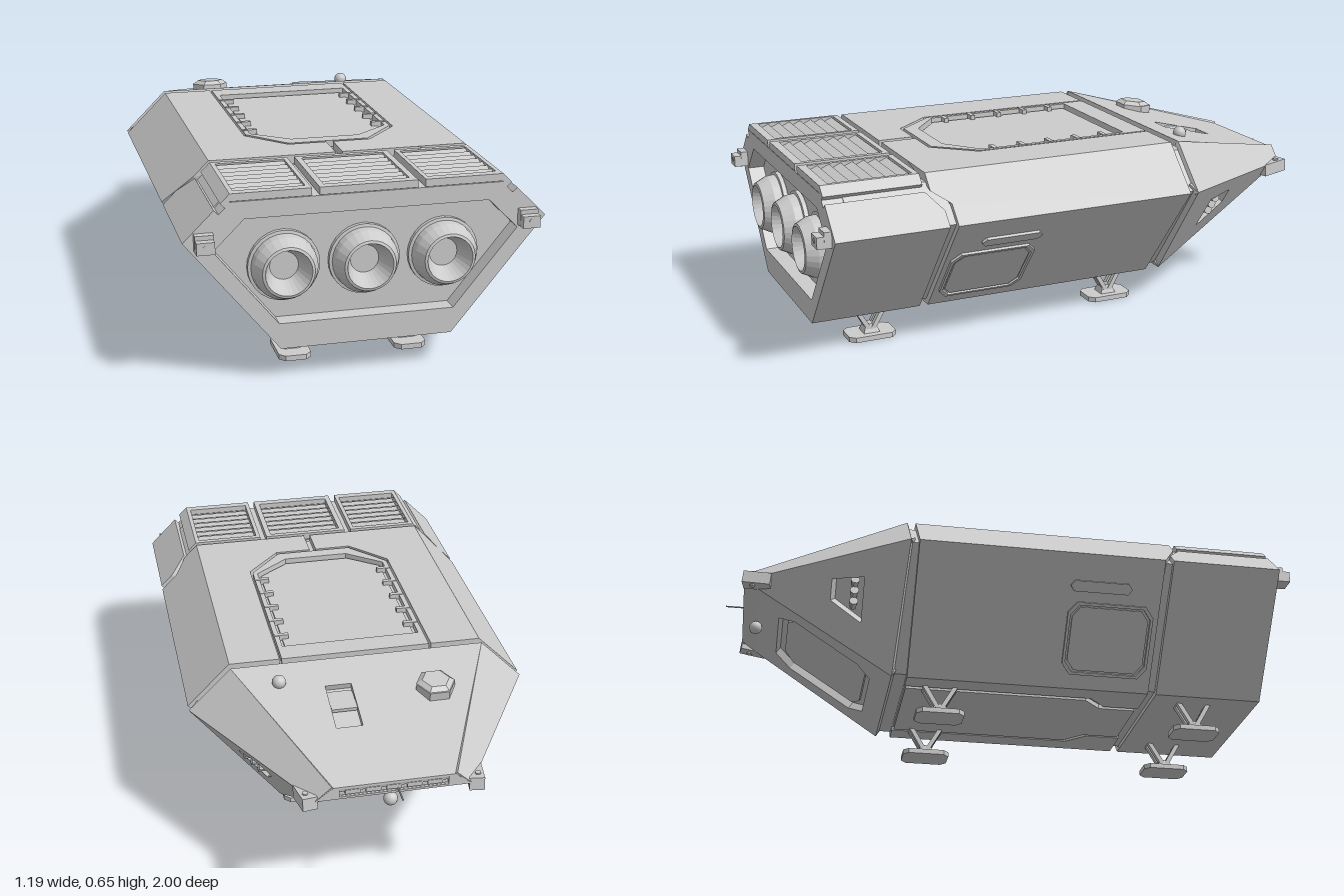
import * as THREE from 'three';

const V = (x, y, z) => new THREE.Vector3(x, y, z);
const mat = new THREE.MeshStandardMaterial({ color: 0xcccccc, flatShading: true, side: THREE.DoubleSide });
const smooth = new THREE.MeshStandardMaterial({ color: 0xcccccc });

export function createModel() {
  const root = new THREE.Group();
  const add = (name, geo, pos = [0, 0, 0], rot = [0, 0, 0], m = mat) => {
    const mesh = new THREE.Mesh(geo, m);
    mesh.name = name;
    mesh.position.set(...pos);
    mesh.rotation.set(...rot);
    root.add(mesh);
    return mesh;
  };
  const box = (name, size, pos, rot) => add(name, new THREE.BoxGeometry(...size), pos, rot);

  // Solid between two mirrored sections; half points are [x, y, backZ, frontZ] from bottom to top
  function loft(name, half, z0, z1) {
    const ring = [...half, ...half.map(([x, ...r]) => [-x, ...r]).reverse()];
    const n = ring.length, pos = [], idx = [];
    ring.forEach(([x, y, a = z0]) => pos.push(x, y, a));
    ring.forEach(([x, y, , b = z1]) => pos.push(x, y, b));
    for (let i = 0; i < n; i++) {
      const j = (i + 1) % n;
      idx.push(i, j, n + j, i, n + j, n + i);
    }
    for (const [a, b, c] of THREE.ShapeUtils.triangulateShape(ring.map(p => new THREE.Vector2(p[0], p[1])), []))
      idx.push(c, b, a, n + a, n + b, n + c);
    const g = new THREE.BufferGeometry();
    g.setAttribute('position', new THREE.Float32BufferAttribute(pos, 3));
    g.setIndex(idx);
    g.computeVertexNormals();
    add(name, g);
  }

  // Flat plate on any plane, thickened inward; each hole gets a floor
  function panel(name, pts, depth, holes = []) {
    const n = V(0, 0, 0), c = V(0, 0, 0);
    pts.forEach((p, i) => {
      n.add(p.clone().cross(pts[(i + 1) % pts.length]));
      c.addScaledVector(p, 1 / pts.length);
    });
    n.normalize();
    if (n.dot(c.clone().sub(V(0, 0.38, 0.1))) < 0) n.negate();
    const u = pts[1].clone().sub(pts[0]).normalize(), v = n.clone().cross(u);
    const flat = list => list.map(p => {
      const d = p.clone().sub(pts[0]);
      return new THREE.Vector2(d.dot(u), d.dot(v));
    });
    const shape = new THREE.Shape(flat(pts));
    shape.holes = holes.map(h => new THREE.Path(flat(h)));
    const m = new THREE.Matrix4().makeBasis(u, v, n).setPosition(pts[0]);
    const g = new THREE.ExtrudeGeometry(shape, { depth, bevelEnabled: false });
    add(name, g.translate(0, 0, -depth).applyMatrix4(m));
    holes.forEach(h => add(name + 'Floor',
      new THREE.ShapeGeometry(new THREE.Shape(flat(h))).translate(0, 0, 0.001 - depth).applyMatrix4(m)));
  }
  const mirror = half => [...half, ...half.map(([x, ...r]) => [-x, ...r]).reverse()];
  const atY = (y, list) => list.map(([x, z]) => V(x, y, z));
  const rect = (x0, x1, z0, z1) => [[x0, z0], [x1, z0], [x1, z1], [x0, z1]];

  // Hull: inner core shows as the floor of the seams between sections
  loft('hullCore', [[0.27, 0.13], [0.572, 0.495], [0.45, 0.615]], -0.405, 0.88);
  loft('midHull', [[0.21, 0.128], [0.21, 0.113], [0.285, 0.113], [0.595, 0.495], [0.535, 0.555],
    [0.495, 0.595, -0.345, 0.59], [0.445, 0.645, -0.345, 0.59], [0.27, 0.645, -0.345, 0.59],
    [0.27, 0.62, -0.345, 0.59]], -0.345, 0.53);
  const rearHalf = [[0.285, 0.113], [0.595, 0.495], [0.55, 0.54], [0.495, 0.595, 0.61], [0.48, 0.58, 0.61],
    [0.46, 0.6, 0.61], [0.475, 0.615, 0.61], [0.445, 0.645, 0.61], [0.445, 0.618, 0.61]];
  loft('rearHull', rearHalf, 0.56, 0.89);
  panel('engineFrame', mirror(rearHalf).map(([x, y]) => V(x, y, 0.95)), 0.06,
    [mirror([[0.29, 0.2], [0.5, 0.46], [0.4, 0.56]]).map(([x, y]) => V(x, y, 0.95))]);

  // Roof deck with sunken hatch and its clips
  const hatch = k => mirror([[0.245 - k, -0.26 + k], [0.245 - k, 0.3], [0.12, 0.4 - k]]);
  panel('hatchFrame', atY(0.645, mirror([[0.262, -0.345], [0.262, 0.31], [0.14, 0.45]])), 0.022, [atY(0.645, hatch(0))]);
  panel('hatchLid', atY(0.631, hatch(0.012)), 0.01);
  for (const s of [-1, 1]) {
    panel('deckPlate', atY(0.645, [[0.27, 0.322], [0.145, 0.462], [0.012, 0.462], [0.012, 0.59], [0.27, 0.59]]
      .map(([x, z]) => [s * x, z])), 0.025);
    for (let i = 0; i < 5; i++) box('hatchClip', [0.05, 0.02, 0.016], [s * 0.235, 0.637, -0.18 + i * 0.108]);
  }

  // Louvred engine vents
  for (const [x0, x1, v0, v1] of [[-0.445, -0.185, -0.43, -0.2], [-0.16, 0.16, -0.14, 0.14], [0.185, 0.445, 0.2, 0.43]]) {
    panel('ventFrame', atY(0.645, rect(x0, x1, 0.61, 0.95)), 0.025, [atY(0.645, rect(v0, v1, 0.63, 0.92))]);
    for (let i = 0; i < 7; i++)
      box('ventSlat', [v1 - v0, 0.005, 0.036], [(v0 + v1) / 2, 0.632, 0.652 + i * 0.041], [0.4, 0, 0]);
  }

  // Underside plates
  panel('bellyPlate', atY(0.111, mirror([[0.196, -0.34], [0.196, 0.32], [0.131, 0.385], [0.131, 0.52]])), 0.017);
  for (const s of [-1, 1])
    panel('bellyFill', atY(0.113, [[0.21, 0.335], [0.145, 0.4], [0.145, 0.53], [0.21, 0.53]].map(([x, z]) => [s * x, z])), 0.015);

  // Engines
  const nozzle = [[0.112, 0], [0.118, 0.005], [0.118, 0.02], [0.108, 0.022], [0.105, 0.05], [0.085, 0.09],
    [0.076, 0.093], [0.047, 0.02], [0, 0.02]].map(p => new THREE.Vector2(...p));
  for (const x of [-0.265, 0, 0.265])
    add('engineNozzle', new THREE.LatheGeometry(nozzle, 28), [x, 0.38, 0.888], [Math.PI / 2, 0, 0]);

  // Nose built from face plates
  const topY = z => 0.645 + (z + 0.375) * 0.25;
  const T0 = s => V(s * 0.445, 0.645, -0.375), T1 = s => V(s * 0.2, 0.505, -0.935);
  const M0 = s => V(s * 0.595, 0.495, -0.375), M1 = s => V(s * 0.26, 0.46, -0.935);
  const B0 = s => V(s * 0.285, 0.113, -0.4), B1 = s => V(s * 0.263, 0.425, -0.88);
  panel('noseTop', [T0(1), T0(-1), T1(-1), T1(1)], 0.022,
    [rect(0.05, 0.14, -0.69, -0.5).map(([x, z]) => V(x, topY(z), z))]);
  box('noseSlotRamp', [0.088, 0.012, 0.1], [0.095, topY(-0.56) - 0.014, -0.56], [-0.08, 0, 0]);
  const belly = (x, t) => V(x, 0.113 + 0.312 * t, -0.4 - 0.48 * t);
  const windowPts = (k, t) => mirror([[0.15 - k, 0.14 + t], [0.2 - k, 0.24], [0.2 - k, 0.72], [0.15 - k, 0.84 - t]])
    .map(([x, q]) => belly(x, q));
  panel('noseBottom', [B0(1), B0(-1), B1(-1), B1(1)], 0.03, [windowPts(0, 0)]);
  panel('noseHatch', windowPts(0.025, 0.05).map(p => p.add(V(0, 0.015, 0.01))), 0.012);
  panel('noseTip', [T1(1), T1(-1), M1(-1), M1(1)], 0.012,
    [[[-0.18, 0.468], [0.18, 0.468], [0.18, 0.497], [-0.18, 0.497]].map(([x, y]) => V(x, y, -0.935))]);
  for (let i = -2; i <= 2; i++) box('noseLamp', [0.05, 0.016, 0.012], [i * 0.068, 0.482, -0.927]);
  panel('noseLip', [M1(1), M1(-1), B1(-1), B1(1)], 0.01);
  const noseX = (y, z) => 0.595 + (0.165 * (y - 0.495) + 0.117 * (z + 0.375)) / 0.213;
  for (const s of [-1, 1]) {
    panel('noseShoulder', [T0(s), M0(s), M1(s), T1(s)], 0.015);
    panel('noseCheek', [M0(s), B0(s), B1(s), M1(s)], 0.045,
      [[[0.28, -0.52], [0.41, -0.52], [0.42, -0.63], [0.36, -0.63]].map(([y, z]) => V(s * noseX(y, z), y, z))]);
    // Steering thrusters in the cheek recess
    for (const y of [0.35, 0.38, 0.41])
      add('steeringThruster', new THREE.CylinderGeometry(0.016, 0.011, 0.04, 10),
        [s * (noseX(y, -0.555) - 0.02), y - 0.005, -0.55], [0, 0, -s * 1.4]);
  }

  // Side doors and handles on the lower flanks
  const flank = (s, off) => ([z, y]) => V(s * (0.285 + (y - 0.113) * 0.8115 + off * 0.776), y - off * 0.63, z);
  const cham = (z0, z1, y0, y1, c) => [[z0 + c, y0], [z1 - c, y0], [z1, y0 + c], [z1, y1 - c],
    [z1 - c, y1], [z0 + c, y1], [z0, y1 - c], [z0, y0 + c]];
  for (const s of [-1, 1]) {
    panel('sideDoorFrame', cham(0.2, 0.51, 0.155, 0.36, 0.03).map(flank(s, 0.009)), 0.012,
      [cham(0.21, 0.5, 0.163, 0.352, 0.028).map(flank(s, 0.009))]);
    panel('sideDoor', cham(0.217, 0.493, 0.168, 0.347, 0.027).map(flank(s, 0.006)), 0.01);
    panel('sideHandle', cham(0.2, 0.42, 0.39, 0.42, 0.013).map(flank(s, 0.01)), 0.014);
  }

  // Landing legs: paired V struts on chamfered pads
  for (const s of [-1, 1]) for (const z of [0.72, -0.218]) {
    const pad = new THREE.Shape(cham(-0.055, 0.055, -0.086, 0.086, 0.02).map(p => new THREE.Vector2(...p)));
    add('footPad', new THREE.ExtrudeGeometry(pad, { depth: 0.018, bevelEnabled: false }).rotateX(-Math.PI / 2), [s * 0.2, 0, z]);
    add('ankle', new THREE.CylinderGeometry(0.025, 0.042, 0.032, 4, 1).rotateY(Math.PI / 4), [s * 0.2, 0.032, z]);
    for (const dx of [-0.015, 0.015]) for (const d of [-1, 1])
      box('legStrut', [0.018, 0.115, 0.016], [s * 0.2 + dx, 0.078, z + d * 0.034], [d * 0.52, 0, 0]);
  }

  // Tow lugs
  for (const s of [-1, 1]) {
    box('rearLug', [0.06, 0.055, 0.03], [s * 0.53, 0.497, 0.96]);
    box('rearLugTongue', [0.058, 0.04, 0.03], [s * 0.53, 0.49, 0.985]);
    add('rearLugPin', new THREE.CylinderGeometry(0.009, 0.009, 0.004, 12), [s * 0.53, 0.493, 0.9995], [Math.PI / 2, 0, 0]);
    box('frontLug', [0.05, 0.045, 0.1], [s * 0.283, 0.45, -0.888], [0.1, s * 0.15, 0]);
    add('frontLugPin', new THREE.CylinderGeometry(0.01, 0.01, 0.056, 12), [s * 0.286, 0.452, -0.905]);
  }

  // Roof sensor, domes and antenna
  add('sensorBase', new THREE.CylinderGeometry(0.068, 0.068, 0.05, 6).rotateY(Math.PI / 6), [-0.23, 0.597, -0.56], [-0.12, 0, 0]);
  add('sensorCap', new THREE.CylinderGeometry(0.048, 0.068, 0.014, 6).rotateY(Math.PI / 6), [-0.23, 0.628, -0.56], [-0.12, 0, 0]);
  add('roofDome', new THREE.SphereGeometry(0.024, 16, 12), [0.293, 0.631, -0.47], [0, 0, 0], smooth);
  add('chinDome', new THREE.SphereGeometry(0.024, 16, 12), [0, 0.402, -0.885], [0, 0, 0], smooth);
  add('antenna', new THREE.CylinderGeometry(0.003, 0.003, 0.075, 6), [-0.012, 0.475, -0.9625], [Math.PI / 2, 0, 0]);
  return root;
}
